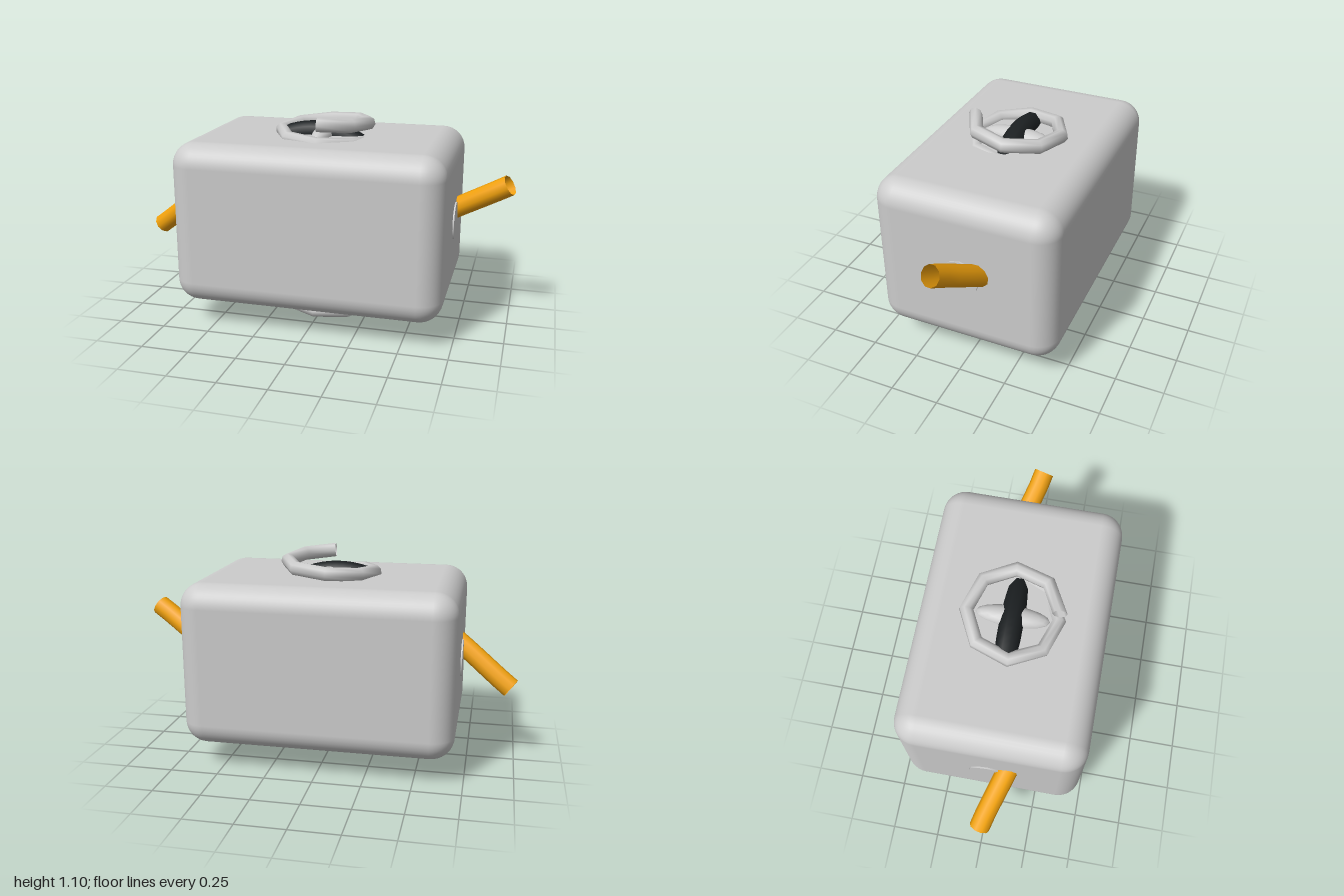
import * as THREE from 'three';
import { RoundedBoxGeometry } from 'three/addons/geometries/RoundedBoxGeometry.js';

const MID = 0.555; // height of the body's centre
const material = (color, side = THREE.FrontSide) => new THREE.MeshStandardMaterial({ color, side });
const v = (x, y, z) => new THREE.Vector3(x, y, z);

// Descending coil: starts at the front on top, ends at +x below
class Helix extends THREE.Curve {
  getPoint(t, target = new THREE.Vector3()) {
    const a = 0.08 + t * (Math.PI * 2 * 10.25 - 0.08);
    return target.set(0.23 * Math.sin(a), 1.068 - 1.029 * t, 0.23 * Math.cos(a));
  }
}

export function createModel() {
  const group = new THREE.Group();
  const grey = material(0xcccccc);
  const greyOpen = material(0xcccccc, THREE.DoubleSide);
  const orange = material(0xf2a20c, THREE.DoubleSide);
  const black = material(0x1c2022, THREE.DoubleSide);

  const add = (name, geometry, mat, x = 0, y = 0, z = 0) => {
    const mesh = new THREE.Mesh(geometry, mat);
    mesh.name = name;
    mesh.position.set(x, y, z);
    group.add(mesh);
    return mesh;
  };

  // Rounded housing
  add('body', new RoundedBoxGeometry(1.4, 0.85, 0.96, 5, 0.12), grey, 0, MID, 0);

  // Vertical coil showing above and below the housing
  add('coil', new THREE.TubeGeometry(new Helix(), 82, 0.037, 8, false), greyOpen);

  // Inner arches and bulges, one pair at each end of the coil
  for (const s of [1, -1]) {
    const end = s > 0 ? 'upper' : 'lower';
    const lean = s > 0 ? 0 : -0.02;
    const arch = new THREE.QuadraticBezierCurve3(
      v(-0.21, MID + s * 0.4, 0),
      v(0, MID + s * 0.48, lean),
      v(0.21, MID + s * 0.36, lean)
    );
    add(end + 'InnerArch', new THREE.TubeGeometry(arch, 12, 0.06, 10, false), black);
    const bulge = add(end + 'InnerBulge', new THREE.SphereGeometry(1, 16, 12), grey, 0, MID + s * 0.42, 0);
    bulge.scale.set(0.057, 0.05, 0.19);
  }

  // Side discs and the leads that leave the housing beside them
  for (const s of [1, -1]) {
    const side = s > 0 ? 'left' : 'right';
    const disc = add(side + 'Disc', new THREE.CylinderGeometry(0.1, 0.1, 0.02, 12), grey, s * 0.698, MID, 0);
    disc.rotation.z = Math.PI / 2;

    const path = s > 0
      ? [v(0.6, 0.54, -0.13), v(0.75, 0.63, -0.075), v(0.9, 0.72, -0.02), v(0.972, 0.763, 0)]
      : [v(-0.6, 0.675, 0.13), v(-0.75, 0.565, 0.075), v(-0.9, 0.45, 0.02), v(-0.965, 0.402, 0)];
    const lead = new THREE.CatmullRomCurve3(path);
    add(side + 'Lead', new THREE.TubeGeometry(lead, 6, 0.054, 10, false), orange);
  }

  return group;
}
